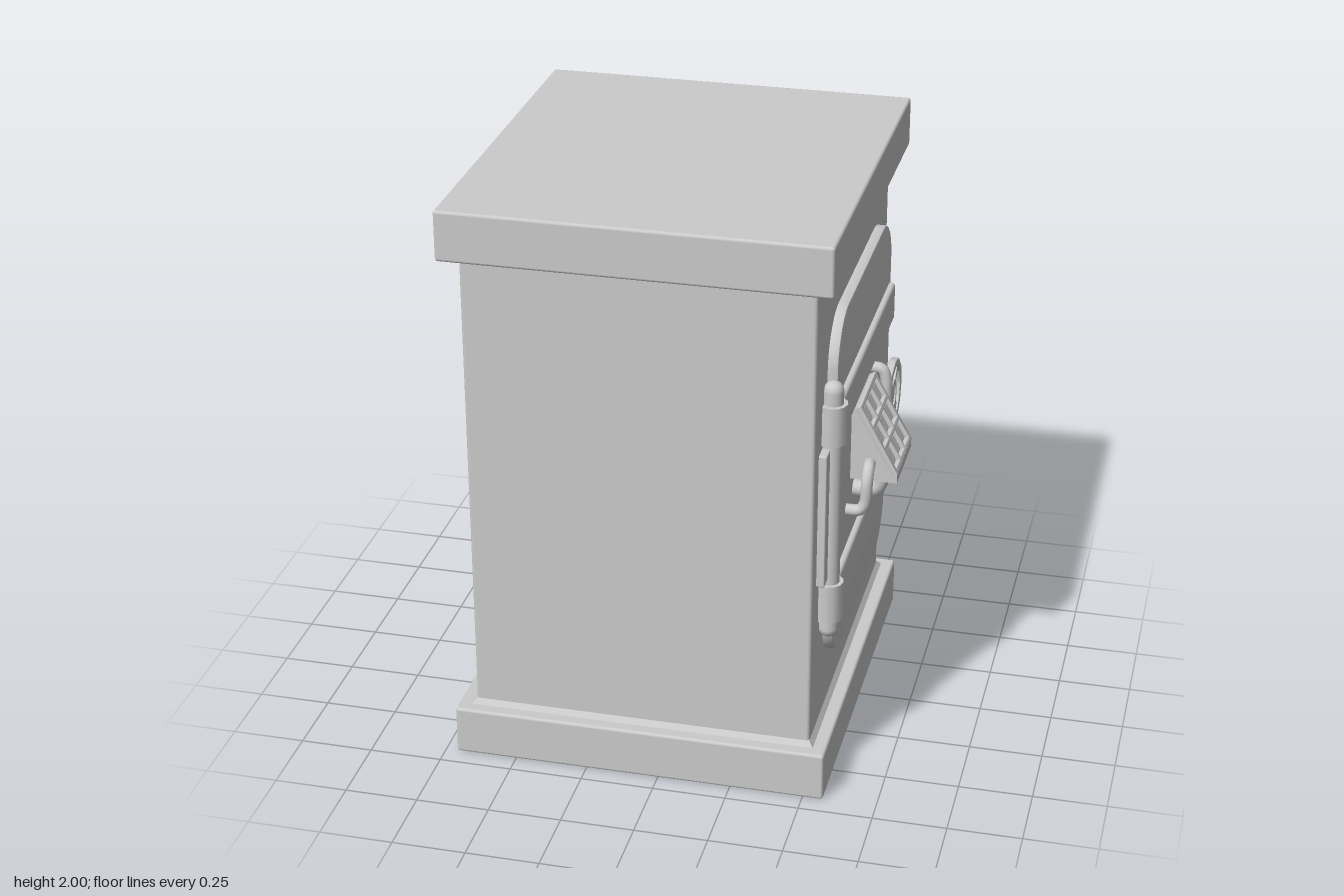
import * as THREE from 'three';
import { RoundedBoxGeometry } from 'three/addons/geometries/RoundedBoxGeometry.js';
import { toCreasedNormals } from 'three/addons/utils/BufferGeometryUtils.js';

const mat = new THREE.MeshStandardMaterial({ color: 0xcccccc });

function add(parent, name, geo, x = 0, y = 0, z = 0) {
  const mesh = new THREE.Mesh(geo, mat);
  mesh.name = name;
  mesh.position.set(x, y, z);
  parent.add(mesh);
  return mesh;
}

function roundedRect(w, h, r) {
  const s = new THREE.Shape(), x = w / 2, y = h / 2;
  s.absarc(x - r, y - r, r, 0, Math.PI / 2);
  s.absarc(-x + r, y - r, r, Math.PI / 2, Math.PI);
  s.absarc(-x + r, -y + r, r, Math.PI, Math.PI * 1.5);
  s.absarc(x - r, -y + r, r, Math.PI * 1.5, Math.PI * 2);
  s.closePath();
  return s;
}

function rectPath(cx, cy, w, h) {
  return new THREE.Path([[-1, -1], [-1, 1], [1, 1], [1, -1]].map(
    ([a, b]) => new THREE.Vector2(cx + a * w / 2, cy + b * h / 2)));
}

// Bevelled plate from z = 0 to z = depth
function plate(shape, depth, bevel) {
  const geo = new THREE.ExtrudeGeometry(shape, {
    depth: depth - bevel, bevelEnabled: bevel > 0, bevelSize: bevel, bevelThickness: bevel,
    bevelOffset: -bevel, bevelSegments: 2, curveSegments: 10
  });
  return toCreasedNormals(geo, 0.6);
}

// Regular polygon outline
function polygon(r, n, Type = THREE.Shape) {
  return new Type(Array.from({ length: n }, (_, i) => {
    const a = (i / n) * Math.PI * 2;
    return new THREE.Vector2(r * Math.cos(a), r * Math.sin(a));
  }));
}

function ring(outer, inner, n, depth) {
  const s = polygon(outer, n);
  s.holes.push(polygon(inner, n, THREE.Path));
  return plate(s, depth, 0.004);
}

export function createModel() {
  const model = new THREE.Group();
  const cx = -0.07;

  // Cabinet with plinth and cap slabs
  add(model, 'body', new RoundedBoxGeometry(1.16, 1.72, 1.255, 2, 0.012), cx, 1, 0);
  for (const [name, y, s] of [['base', 0.086, 1], ['top', 1.914, -1]]) {
    add(model, name, new RoundedBoxGeometry(1.28, 0.172, 1.37, 2, 0.01), cx, y, 0);
    // Small flare where the body meets the slab
    const flare = new THREE.BoxGeometry(1.16, 0.02, 1.255);
    const p = flare.attributes.position;
    for (let i = 0; i < p.count; i++) {
      if (p.getY(i) * s < 0) {
        p.setX(i, p.getX(i) + Math.sign(p.getX(i)) * 0.016);
        p.setZ(i, p.getZ(i) + Math.sign(p.getZ(i)) * 0.016);
      }
    }
    flare.computeVertexNormals();
    add(model, name + 'Flare', flare, cx, y + s * 0.094, 0);
  }

  // Door assembly: local x runs along -z, local z points out of the +x side
  const door = new THREE.Group();
  door.name = 'door';
  door.rotation.y = Math.PI / 2;
  model.add(door);
  add(door, 'doorPanel', plate(roundedRect(0.975, 1.265, 0.17), 0.035, 0.008), 0.043, 1.005, 0.51);

  // Hinge rod with domed ends, and its backing plate
  add(door, 'hingeRod', new THREE.CapsuleGeometry(0.034, 0.87, 6, 16), -0.48, 0.987, 0.538);
  add(door, 'hingePlate', new RoundedBoxGeometry(0.12, 0.48, 0.04, 2, 0.005), -0.505, 0.985, 0.517);

  // Straps, each with a knuckle round the rod
  for (const y of [1.31, 0.658]) {
    add(door, 'strap', new RoundedBoxGeometry(0.98, 0.138, 0.05, 2, 0.012), 0.02, y, 0.541);
    add(door, 'strapKnuckle', new THREE.CylinderGeometry(0.05, 0.05, 0.138, 12), -0.48, y, 0.536);
  }

  // Hand wheel
  const wheel = new THREE.Group();
  wheel.name = 'wheel';
  wheel.position.set(0.357, 1.013, 0.578);
  door.add(wheel);
  add(wheel, 'wheelRim', ring(0.135, 0.108, 12, 0.024));
  add(wheel, 'wheelHub', ring(0.058, 0.046, 12, 0.02));
  add(wheel, 'wheelHubFace', plate(polygon(0.048, 12), 0.014, 0.002));
  const stalk = add(wheel, 'wheelStalk', new THREE.CylinderGeometry(0.022, 0.028, 0.05, 12), 0, 0, -0.018);
  stalk.rotation.x = Math.PI / 2;
  for (let i = 0; i < 4; i++) {
    const a = Math.PI / 4 + i * Math.PI / 2;
    const spoke = add(wheel, 'wheelSpoke', new THREE.BoxGeometry(0.065, 0.022, 0.014),
      0.085 * Math.cos(a), 0.085 * Math.sin(a), 0.01);
    spoke.rotation.z = a;
  }

  // Sloped keypad housing
  const side = new THREE.Shape([[0.535, 0.955], [0.69, 0.955], [0.69, 0.98], [0.561, 1.212], [0.535, 1.222]]
    .map(([x, y]) => new THREE.Vector2(x, y)));
  add(model, 'keypadHousing', plate(side, 0.28, 0), 0, 0, -0.098);

  // Keypad grid laid on the slope
  const frame = new THREE.Shape();
  frame.setFromPoints(rectPath(0, 0, 0.282, 0.27).getPoints().reverse());
  const cells = [-0.085, 0, 0.085];
  for (const x of cells) for (const y of cells) frame.holes.push(rectPath(x, y, 0.071, 0.07));
  const keypad = new THREE.Group();
  keypad.name = 'keypad';
  keypad.position.set(-0.042, 1.098, 0.624);
  keypad.rotation.x = -0.508;
  door.add(keypad);
  add(keypad, 'keypadFrame', plate(frame, 0.018, 0.003));
  for (const x of cells) for (const y of cells) {
    add(keypad, 'key', new RoundedBoxGeometry(0.06, 0.06, 0.016, 2, 0.006), x, y, 0);
  }
  // Front lip under the grid
  add(door, 'keypadLip', new THREE.BoxGeometry(0.282, 0.032, 0.1), -0.042, 0.971, 0.654);

  // Pipes from the keypad to the door: radius, then points in door space
  const pipes = [
    [0.02, [-0.17, 1.02, 0.61], [-0.215, 1.02, 0.613], [-0.24, 0.985, 0.613], [-0.243, 0.9, 0.608], [-0.243, 0.874, 0.59], [-0.243, 0.87, 0.535]],
    [0.03, [-0.107, 0.97, 0.632], [-0.107, 0.915, 0.632], [-0.107, 0.888, 0.61], [-0.107, 0.885, 0.535]],
    [0.028, [0.013, 0.97, 0.635], [0.016, 0.91, 0.635], [0.045, 0.865, 0.633], [0.11, 0.856, 0.628], [0.2, 0.857, 0.618], [0.238, 0.857, 0.595], [0.242, 0.857, 0.535]],
    [0.027, [0.08, 0.99, 0.625], [0.135, 0.99, 0.622], [0.168, 0.99, 0.6], [0.172, 0.99, 0.535]],
    [0.02, [0.08, 1.045, 0.6], [0.125, 1.05, 0.602], [0.157, 1.085, 0.602], [0.163, 1.17, 0.6], [0.163, 1.205, 0.585], [0.163, 1.21, 0.535]]
  ];
  for (const [r, ...pts] of pipes) {
    const curve = new THREE.CatmullRomCurve3(pts.map(p => new THREE.Vector3(...p)), false, 'centripetal');
    add(door, 'pipe', new THREE.TubeGeometry(curve, 32, r, 12));
  }
  return model;
}
